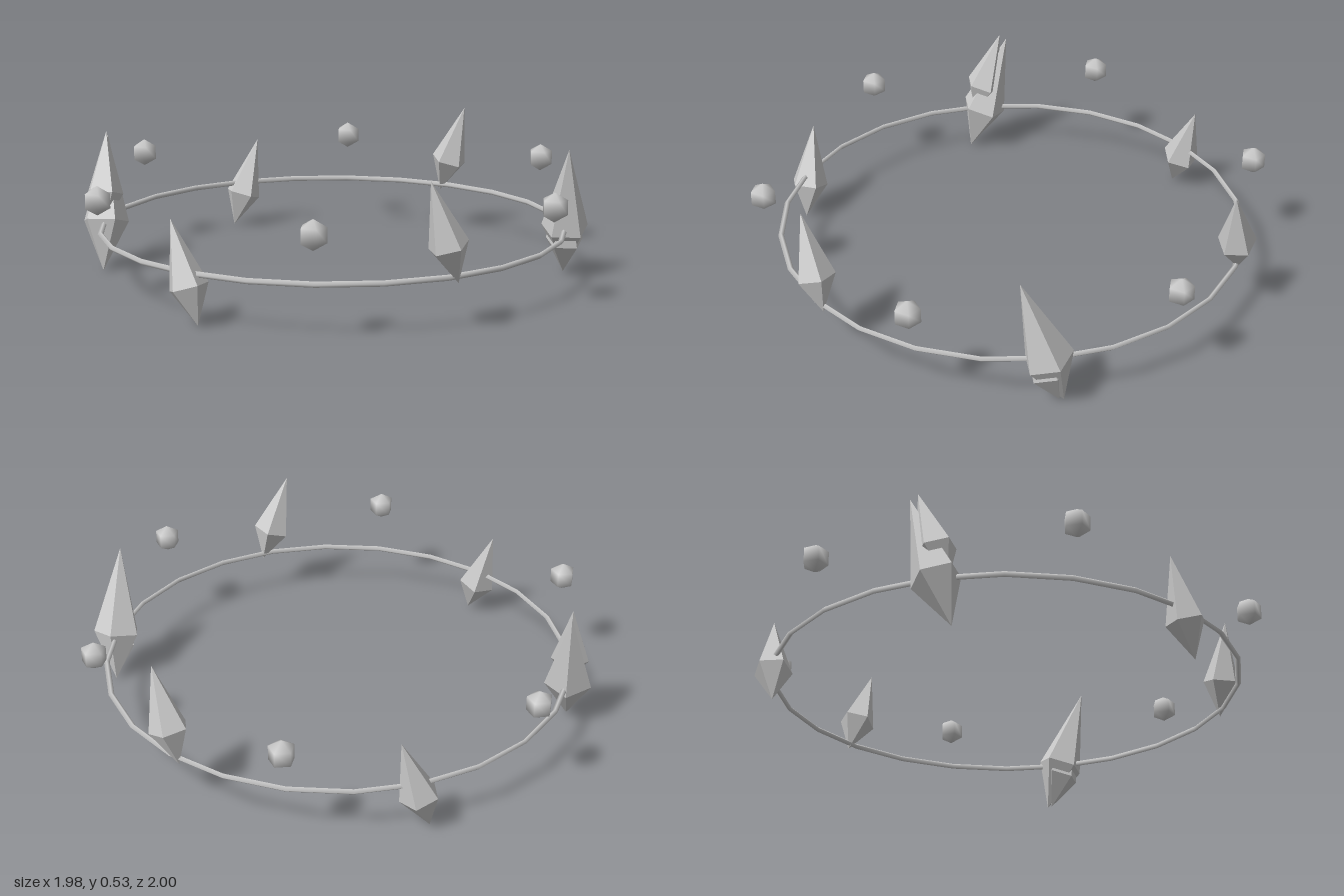
import * as THREE from 'three';

const RING_RADIUS = 0.9;
const RING_HEIGHT = 0.19;
const TILT = 0.3;

// Five-sided double pyramid with hard facets; its waist sits at the origin.
function crystalGeometry(radius, up, down) {
  const profile = [
    new THREE.Vector2(0, -down),
    new THREE.Vector2(radius, 0),
    new THREE.Vector2(0, up),
  ];
  const geometry = new THREE.LatheGeometry(profile, 5, Math.PI).toNonIndexed();
  geometry.computeVertexNormals();
  return geometry;
}

export function createModel() {
  const model = new THREE.Group();
  model.name = 'crystalRing';

  const stone = new THREE.MeshStandardMaterial({ color: 0xcccccc });
  stone.name = 'paleGrey';

  function add(name, geometry, x, y, z) {
    const mesh = new THREE.Mesh(geometry, stone);
    mesh.name = name;
    mesh.position.set(x, y, z);
    model.add(mesh);
    return mesh;
  }

  // Crystals lean along the ring, all in the same turning direction.
  function addCrystal(name, geometry, angle, y) {
    const c = Math.cos(angle), s = Math.sin(angle);
    const mesh = add(name, geometry, c * RING_RADIUS, y, s * RING_RADIUS);
    mesh.rotation.set(TILT * c, 0, TILT * s);
  }

  // Thin hoop
  const hoop = new THREE.TorusGeometry(RING_RADIUS, 0.011, 4, 24).rotateX(Math.PI / 2);
  add('hoop', hoop, 0, RING_HEIGHT, 0);

  // Six small crystals, alternately low and high, with beads between them
  const small = crystalGeometry(0.075, 0.245, 0.14);
  const bead = new THREE.SphereGeometry(0.055, 5, 3, Math.PI);
  for (let i = 0; i < 6; i++) {
    const angle = (i * Math.PI) / 3;
    addCrystal('smallCrystal' + (i + 1), small, angle, i % 2 ? 0.3 : 0.14);

    const between = angle + Math.PI / 6;
    add('bead' + (i + 1), bead, Math.cos(between) * 0.953, 0.375, Math.sin(between) * 0.953);
  }

  // Two large crystals on opposite sides
  const large = crystalGeometry(0.094, 0.34, 0.197);
  addCrystal('largeCrystalLeft', large, 0, RING_HEIGHT);
  addCrystal('largeCrystalRight', large, Math.PI, RING_HEIGHT);

  return model;
}
